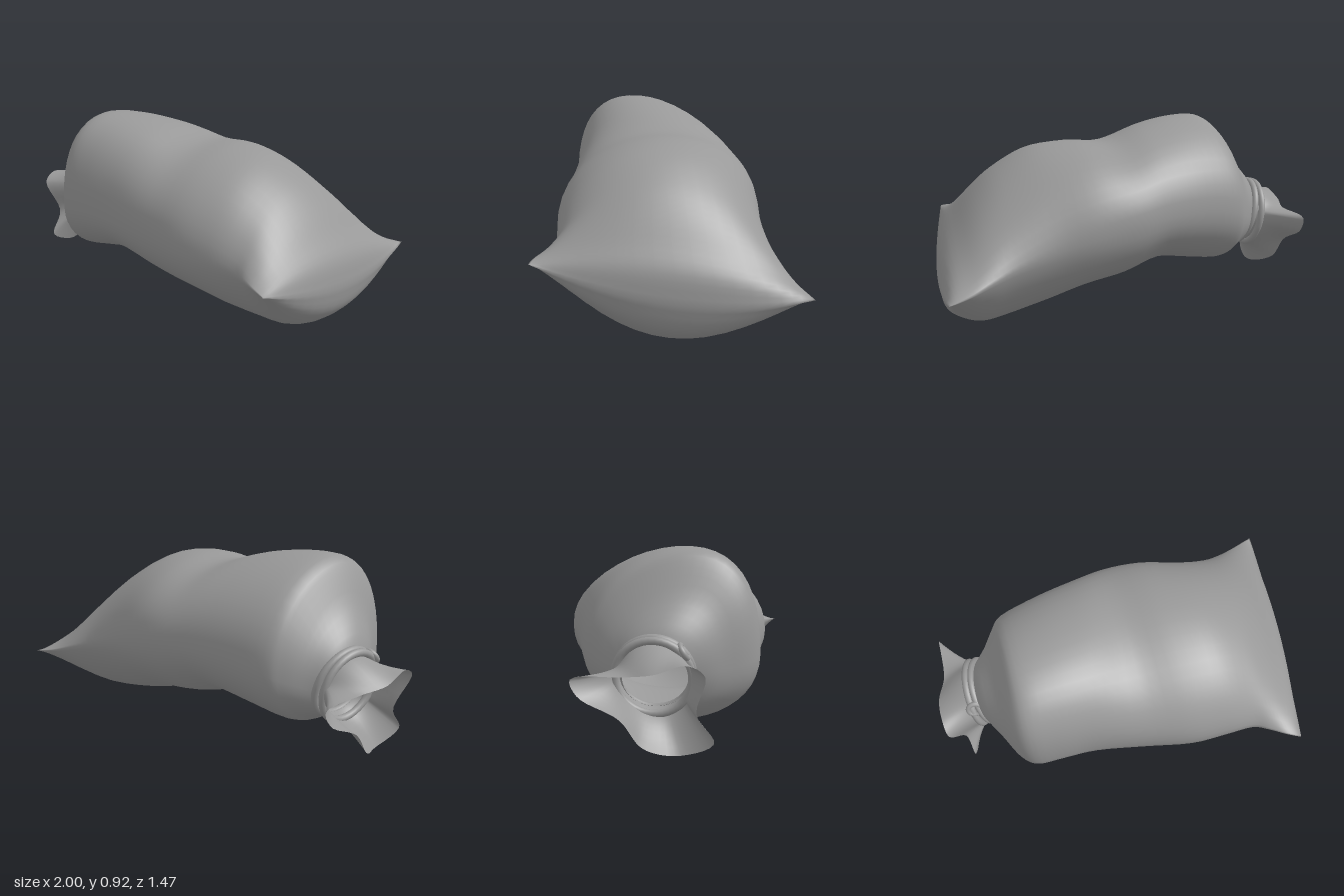
import * as THREE from 'three';
import { mergeVertices } from 'three/addons/utils/BufferGeometryUtils.js';

const V = (x, y, z) => new THREE.Vector3(x, y, z);
const { smoothstep } = THREE.MathUtils;
const material = new THREE.MeshStandardMaterial({ color: 0x999999, side: THREE.DoubleSide });

// Skin closed loops of points, sampled by at(along 0..1, around 0..1)
function skin(name, rows, cols, at) {
  const pos = [], index = [];
  for (let i = 0; i <= rows; i++) {
    for (let j = 0; j < cols; j++) {
      pos.push(...at(i / rows, j / cols).toArray());
      if (i === rows) continue;
      const a = i * cols + j, b = i * cols + (j + 1) % cols;
      index.push(a, a + cols, b, b, a + cols, b + cols);
    }
  }
  let geo = new THREE.BufferGeometry();
  geo.setAttribute('position', new THREE.Float32BufferAttribute(pos, 3));
  geo.setIndex(index);
  // weld the closed end so its shading stays smooth
  geo = mergeVertices(geo, 1e-4);
  geo.computeVertexNormals();
  const mesh = new THREE.Mesh(geo, material);
  mesh.name = name;
  return mesh;
}

// Sack sections from neck to closed end:
// front edge x, y, z | back edge x, y, z | top y, bottom y, end bulge
const sections = [
  [-0.79, 0.41, -0.23, -0.68, 0.41, -0.50, 0.55, 0.27, 0],
  [-0.77, 0.41, -0.10, -0.62, 0.42, -0.535, 0.69, 0.245, 0],
  [-0.75, 0.43, 0.03, -0.53, 0.45, -0.585, 0.84, 0.205, 0],
  [-0.70, 0.45, 0.11, -0.45, 0.48, -0.61, 0.91, 0.168, 0],
  [-0.58, 0.46, 0.16, -0.25, 0.51, -0.59, 0.91, 0.19, 0],
  [-0.42, 0.45, 0.22, -0.05, 0.51, -0.565, 0.875, 0.215, 0],
  [-0.20, 0.44, 0.34, 0.12, 0.49, -0.545, 0.815, 0.155, 0],
  [0.00, 0.43, 0.455, 0.30, 0.45, -0.49, 0.82, 0.115, 0],
  [0.17, 0.42, 0.515, 0.48, 0.40, -0.41, 0.79, 0.05, 0],
  [0.30, 0.41, 0.56, 0.65, 0.35, -0.365, 0.70, 0.01, 0.01],
  [0.36, 0.41, 0.62, 0.78, 0.31, -0.36, 0.60, 0.0, 0.02],
  [0.41, 0.41, 0.68, 0.88, 0.28, -0.365, 0.48, 0.04, 0.035],
  [0.45, 0.405, 0.72, 0.96, 0.265, -0.37, 0.37, 0.12, 0.05],
  [0.47, 0.40, 0.735, 1.0, 0.26, -0.37, 0.24, 0.24, 0.045],
];
const rail = (k) => new THREE.CatmullRomCurve3(
  sections.map((s) => V(s[k], s[k + 1], s[k + 2])), false, 'catmullrom');

function sack() {
  const front = rail(0), back = rail(3), rise = rail(6);
  return skin('sackBody', 52, 44, (t, a) => {
    const f = front.getPoint(t), b = back.getPoint(t), r = rise.getPoint(t);
    const c = Math.cos(a * 2 * Math.PI), s = Math.sin(a * 2 * Math.PI);
    const p = b.clone().lerp(f, (c + 1) / 2);
    // the crown of the neck half leans to the front
    if (s > 0) p.z += 0.1 * s * s * (smoothstep(t, 0, 0.15) - smoothstep(t, 0.35, 0.55));
    const mid = (f.y + b.y) / 2;
    // round sections near the neck turn into lens sections at the far end
    const power = 0.92 + 1.05 * smoothstep(t, 0.45, 1);
    const h = s > 0 ? r.x - mid : r.y - mid;
    p.y += h * Math.pow(Math.abs(s), power);
    p.x += r.z * (1 - c * c);
    // the mouth leans with the tie
    p.x -= 0.2 * (p.y - 0.41) * (1 - smoothstep(t, 0, 0.1));
    return p;
  });
}

// Neck frame
const neck = V(-0.74, 0.41, -0.38);
const axis = V(-0.9, -0.2, -0.4).normalize();

// Gathered cloth flaring out beyond the tie into three lobes
function tail() {
  const rim = new THREE.CatmullRomCurve3([
    V(-0.785, 0.43, -0.735), V(-0.80, 0.36, -0.71), V(-0.86, 0.27, -0.56),
    V(-0.88, 0.15, -0.47), V(-0.87, 0.10, -0.31), V(-0.94, 0.16, -0.19),
    V(-0.925, 0.28, -0.26), V(-0.995, 0.45, -0.25), V(-0.98, 0.495, -0.32),
    V(-0.94, 0.46, -0.44), V(-0.86, 0.44, -0.54),
  ], true, 'centripetal');
  return skin('gatheredTail', 10, 60, (t, a) => {
    const end = rim.getPoint(a);
    const out = end.clone().sub(neck).projectOnPlane(axis).normalize();
    const start = neck.clone().addScaledVector(axis, -0.03).addScaledVector(out, 0.145);
    const pinch = neck.clone().addScaledVector(axis, 0.05).addScaledVector(out, 0.15);
    return new THREE.QuadraticBezierCurve3(start, pinch, end).getPoint(t);
  });
}

function ring(name, center, normal, radius, tube) {
  const mesh = new THREE.Mesh(new THREE.TorusGeometry(radius, tube, 10, 40), material);
  mesh.name = name;
  mesh.position.copy(center);
  mesh.quaternion.setFromUnitVectors(V(0, 0, 1), normal.clone().normalize());
  return mesh;
}

export function createModel() {
  const group = new THREE.Group();
  group.name = 'tiedSack';
  group.add(sack(), tail());

  // Cord wound twice around the neck, with a small loop
  const cord = new THREE.Group();
  cord.name = 'cord';
  for (const [i, d] of [-0.02, 0.025].entries()) {
    const tilt = axis.clone().add(V(0, 0.05 * (i ? 1 : -1), 0));
    cord.add(ring('cordTurn' + (i + 1), neck.clone().addScaledVector(axis, d), tilt, 0.16, 0.017));
  }
  cord.add(ring('cordLoop', V(-0.815, 0.515, -0.275), V(-0.3, 0.5, 0.8), 0.032, 0.012));
  group.add(cord);
  return group;
}
